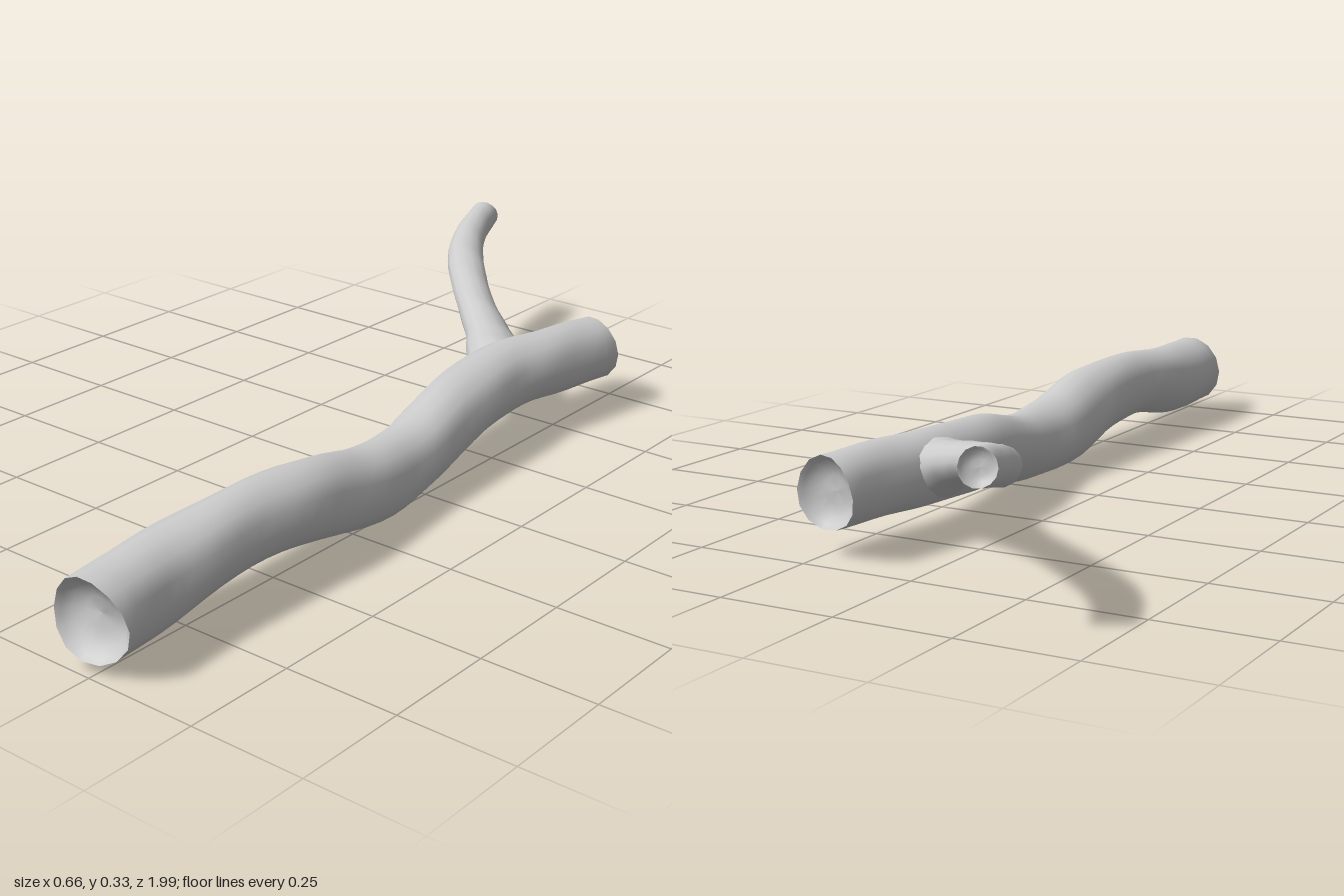
import * as THREE from 'three';
import { mergeGeometries } from 'three/addons/utils/BufferGeometryUtils.js';

const SIDES = 14;
const UP = new THREE.Vector3(0, 1, 0);

// Skin a list of closed rings; shared vertices keep the surface smooth.
function skin(rings) {
  const index = [];
  for (let i = 0; i < rings.length - 1; i++) {
    for (let j = 0; j < SIDES; j++) {
      const k = (j + 1) % SIDES;
      const a = i * SIDES + j, b = i * SIDES + k;
      index.push(a, b, a + SIDES, b, b + SIDES, a + SIDES);
    }
  }
  const geometry = new THREE.BufferGeometry().setFromPoints(rings.flat());
  geometry.setIndex(index);
  geometry.computeVertexNormals();
  return geometry;
}

// Hollowed end: [share of the rim radius, depth] from rim to middle.
const DISH = [[1, 0], [0.88, 0.1], [0.72, 0.28], [0.4, 0.38], [0.01, 0.4]];

// A limb along stations [x, y, z, horizontal radius, vertical radius].
function limb(name, stations, steps, material, openStart) {
  const path = new THREE.CatmullRomCurve3(stations.map(s => new THREE.Vector3(s[0], s[1], s[2])));
  const size = new THREE.CatmullRomCurve3(stations.map(s => new THREE.Vector3(s[3], s[4], 0)));
  path.curveType = size.curveType = 'catmullrom';

  // One ring at t; scale and shift form the dish, wave makes a ragged rim.
  const ring = (t, scale = 1, shift = 0, wave = 0) => {
    const c = path.getPoint(t), r = size.getPoint(t), dir = path.getTangent(t);
    const a = new THREE.Vector3().crossVectors(UP, dir).normalize();
    const b = new THREE.Vector3().crossVectors(dir, a);
    return Array.from({ length: SIDES }, (_, j) => {
      const angle = j / SIDES * Math.PI * 2;
      const bump = 1 + 0.025 * Math.sin(angle * 3 + t * 17) * Math.sin(t * 29);
      return c.clone()
        .addScaledVector(a, Math.cos(angle) * r.x * scale * bump)
        .addScaledVector(b, Math.sin(angle) * r.y * scale * bump)
        .addScaledVector(dir, (shift + wave * scale * Math.sin(angle * 2 + 0.8)) * r.x);
    });
  };

  const wave = 0.09;
  const body = [];
  for (let i = 0; i <= steps; i++) {
    body.push(ring(i / steps, 1, 0, i === 0 || i === steps ? wave : 0));
  }
  const parts = [skin(body), skin(DISH.map(([s, d]) => ring(1, s, -d, wave)))];
  if (openStart) parts.push(skin(DISH.map(([s, d]) => ring(0, s, d, wave)).reverse()));
  const mesh = new THREE.Mesh(mergeGeometries(parts), material);
  mesh.name = name;
  return mesh;
}

export function createModel() {
  const group = new THREE.Group();
  group.name = 'forkedBranch';
  const material = new THREE.MeshStandardMaterial({ color: 0xcccccc, roughness: 0.9 });

  // Main stem, from the front end to the back end
  group.add(limb('mainStem', [
    [0.243, 0.115, 0.985, 0.088, 0.087],
    [0.225, 0.12, 0.8, 0.092, 0.086],
    [0.232, 0.142, 0.6, 0.08, 0.078],
    [0.236, 0.132, 0.4, 0.086, 0.083],
    [0.228, 0.092, 0.2, 0.088, 0.083],
    [0.216, 0.092, 0.02, 0.08, 0.076],
    [0.19, 0.128, -0.18, 0.083, 0.079],
    [0.172, 0.142, -0.38, 0.085, 0.078],
    [0.2, 0.143, -0.54, 0.08, 0.078],
    [0.227, 0.14, -0.7, 0.077, 0.076],
  ], 40, material, true));

  // Side twig, flared where it leaves the stem
  group.add(limb('sideTwig', [
    [0.16, 0.14, -0.41, 0.075, 0.068],
    [0.1, 0.16, -0.465, 0.066, 0.058],
    [0.04, 0.185, -0.52, 0.052, 0.045],
    [-0.05, 0.215, -0.6, 0.045, 0.038],
    [-0.15, 0.243, -0.705, 0.046, 0.038],
    [-0.225, 0.266, -0.8, 0.044, 0.039],
    [-0.268, 0.29, -0.89, 0.039, 0.038],
    [-0.295, 0.309, -0.982, 0.036, 0.036],
  ], 28, material, false));

  return group;
}
